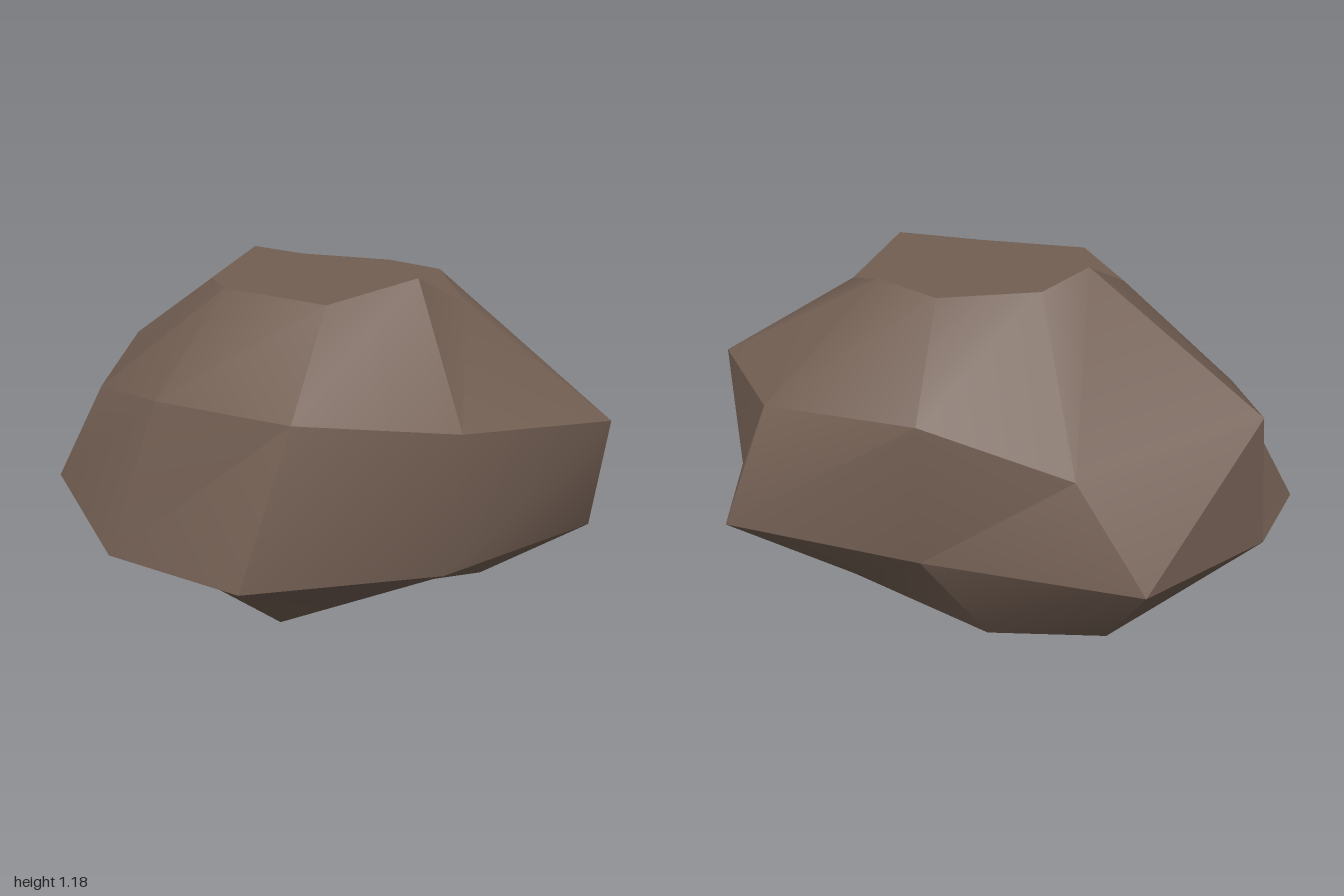
import * as THREE from 'three';
import { toCreasedNormals } from 'three/addons/utils/BufferGeometryUtils.js';

// Four uneven nine-sided rings, bottom to top, each running front -> right -> back -> left
const RINGS = [
  [[0.05, 0.07, 0.425], [-0.36, 0.07, 0.24], [-0.65, 0.042, -0.02], [-0.62, 0.045, -0.16], [-0.45, 0.025, -0.47],
    [-0.06, 0, -0.5], [0.455, 0.065, -0.34], [0.585, 0.115, -0.1], [0.3, 0.1, 0.1]],
  [[0.05, 0.315, 0.735], [-0.55, 0.24, 0.505], [-1, 0.32, 0.105], [-0.92, 0.35, -0.32], [-0.6, 0.345, -0.74],
    [0.11, 0.34, -0.68], [0.81, 0.335, -0.57], [0.94, 0.345, -0.14], [0.57, 0.285, 0.31]],
  [[0.16, 0.825, 0.58], [-0.37, 0.8, 0.46], [-0.77, 0.71, 0.145], [-0.89, 0.78, -0.33], [-0.37, 0.665, -0.67],
    [0.11, 0.8, -0.685], [0.66, 0.755, -0.525], [1, 0.75, -0.055], [0.62, 0.78, 0.335]],
  [[0.145, 1.12, 0.265], [-0.235, 1.13, 0.21], [-0.41, 1.095, -0.04], [-0.32, 1.185, -0.21], [-0.2, 1.14, -0.355],
    [0.11, 1.125, -0.44], [0.335, 1.135, -0.315], [0.49, 1.07, -0.12], [0.38, 1.185, 0.065]],
];
const SIDES = 9;

// Corner triples closing the uneven top and base
const TOP_FACES = [[8, 6, 0], [8, 7, 6], [6, 5, 4], [4, 3, 2], [4, 2, 1], [6, 4, 1], [6, 1, 0]];
const BASE_FACES = [2, 3, 4, 5, 6, 7, 8].map((i) => [1, i, (i + 1) % SIDES]);

function fromTriangles(points) {
  const g = new THREE.BufferGeometry();
  g.setAttribute('position', new THREE.Float32BufferAttribute(points.flat(), 3));
  return g;
}

// Side walls joining successive rings, smooth except at strong edges
function wallGeometry() {
  const tris = [];
  for (let r = 0; r < RINGS.length - 1; r++) {
    const low = RINGS[r], up = RINGS[r + 1];
    for (let i = 0; i < SIDES; i++) {
      const j = (i + 1) % SIDES;
      tris.push(low[i], up[i], low[j], up[i], up[j], low[j]);
    }
  }
  return toCreasedNormals(fromTriangles(tris), THREE.MathUtils.degToRad(32));
}

// Cap over a ring, shaded as one flat face
function capGeometry(ring, faces, normalY) {
  const g = fromTriangles(faces.flat().map((i) => ring[i]));
  const normals = faces.flat().flatMap(() => [0, normalY, 0]);
  g.setAttribute('normal', new THREE.Float32BufferAttribute(normals, 3));
  return g;
}

export function createModel() {
  const model = new THREE.Group();
  model.name = 'boulder';
  const stone = new THREE.MeshStandardMaterial({ color: 0x735f53 });
  stone.name = 'brown stone';

  const add = (name, geometry) => {
    const mesh = new THREE.Mesh(geometry, stone);
    mesh.name = name;
    model.add(mesh);
  };
  add('rockSides', wallGeometry());
  add('rockTop', capGeometry(RINGS[3], TOP_FACES, 1));
  add('rockBase', capGeometry(RINGS[0], BASE_FACES, -1));
  return model;
}
